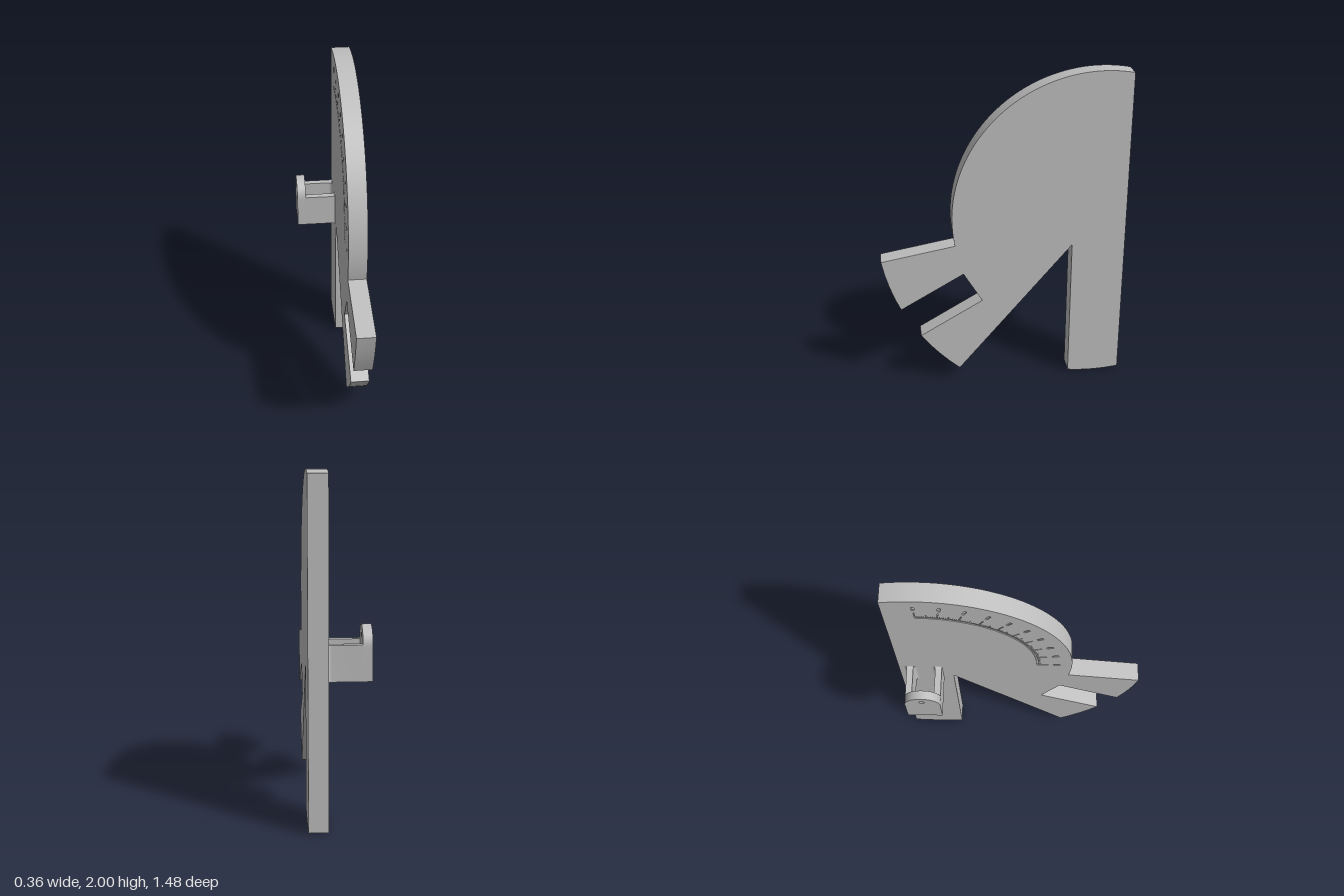
import * as THREE from 'three';
import { toCreasedNormals } from 'three/addons/utils/BufferGeometryUtils.js';

const V = (x, y) => new THREE.Vector2(x, y);
// Pivot of the dial in side-profile coordinates (u = -z, v = y)
const CU = 0.565, CV = 1.128;
const INNER = 0.065, OUTER = 0.178, GROOVE = 0.006;

// Points on an arc about the pivot, blending radius between its two ends
function arc(a, b, n) {
  const polar = p => [Math.hypot(p[0] - CU, p[1] - CV), Math.atan2(p[1] - CV, p[0] - CU)];
  const [r0, t0] = polar(a);
  let [r1, t1] = polar(b);
  if (t1 - t0 > Math.PI) t1 -= 2 * Math.PI;
  if (t0 - t1 > Math.PI) t1 += 2 * Math.PI;
  return Array.from({ length: n + 1 }, (_, i) => {
    const k = i / n, r = r0 + (r1 - r0) * k, t = t0 + (t1 - t0) * k;
    return V(CU + r * Math.cos(t), CV + r * Math.sin(t));
  });
}

// Point on the scale: radius and degrees above the forward horizontal
function dial(r, deg) {
  const t = THREE.MathUtils.degToRad(deg);
  return V(CU - r * Math.cos(t), CV + r * Math.sin(t));
}

function plateOutline() {
  return [
    ...arc([0.738, 1.983], [-0.298, 0.962], 64),
    ...arc([-0.74, 0.885], [-0.635, 0.55], 4),
    V(-0.251, 0.769), V(-0.138, 0.576),
    ...arc([-0.52, 0.355], [-0.285, 0.095], 4),
    V(0.412, 0.922),
    ...arc([0.412, 0.013], [0.738, 0.013], 8),
  ];
}

// Comb-shaped groove: a quarter ring with a tick for every degree
function scaleGroove() {
  const pts = [];
  for (let d = 0; d <= 90; d++) {
    const r = d % 10 === 0 ? 0.735 : d % 5 === 0 ? 0.705 : 0.69;
    const w = d % 10 === 0 ? 0.22 : 0.14;
    pts.push(dial(0.675, d - w), dial(r, d - w), dial(r, d + w), dial(0.675, d + w));
  }
  for (let d = 90; d >= 0; d -= 3) pts.push(dial(0.665, d));
  return new THREE.Path(pts);
}

// Small recess beside each long tick
function markRecess(deg) {
  return new THREE.Path([dial(0.765, deg - 0.6), dial(0.805, deg - 0.6),
    dial(0.805, deg + 0.6), dial(0.765, deg + 0.6)]);
}

// Extrude a side profile along x
function sideExtrude(shape, x0, x1) {
  const g = new THREE.ExtrudeGeometry(shape, { depth: x1 - x0, bevelEnabled: false, curveSegments: 24 });
  g.rotateY(Math.PI / 2).translate(x0, 0, 0);
  return toCreasedNormals(g, 0.5);
}

export function createModel() {
  const model = new THREE.Group();
  const grey = new THREE.MeshStandardMaterial({ color: 0xbfbfbf });
  grey.name = 'plain grey';
  const add = (name, geometry, parent = model) => {
    const m = new THREE.Mesh(geometry, grey);
    m.name = name;
    parent.add(m);
    return m;
  };

  // Flat gauge plate, with its engraved face as a thin layer
  add('gaugePlate', sideExtrude(new THREE.Shape(plateOutline()), INNER + GROOVE, OUTER));
  const face = new THREE.Shape(plateOutline());
  face.holes.push(scaleGroove());
  for (let d = 0; d <= 90; d += 10) face.holes.push(markRecess(d));
  add('engravedFace', sideExtrude(face, INNER, INNER + GROOVE));

  // Bracket on the engraved side
  const bracket = new THREE.Group();
  bracket.name = 'bracket';
  model.add(bracket);
  const Z0 = -0.689, Z1 = -0.476, MID = (Z0 + Z1) / 2, R = (Z1 - Z0) / 2;
  const Y0 = 0.86, Y1 = 1.065, XE = -0.178, XI = -0.124;

  // Round-topped end plate with a pin hole
  const end = new THREE.Shape();
  end.moveTo(-Z1, Y0);
  end.lineTo(-Z0, Y0);
  end.lineTo(-Z0, 1.16 - R);
  end.absarc(-MID, 1.16 - R, R, 0, Math.PI, false);
  end.closePath();
  const pin = new THREE.Path();
  pin.absarc(-MID, 1.1, 0.016, 0, Math.PI * 2, true);
  end.holes.push(pin);
  add('endPlate', sideExtrude(end, XE, XI), bracket);

  // Two arms, flared where they meet the plate
  const F = 0.02;
  function arm(name, za, zb, flareA, flareB) {
    const s = new THREE.Shape();
    s.moveTo(XI, -zb);
    s.lineTo(INNER - F, -zb);
    s.quadraticCurveTo(INNER, -zb, INNER, -zb - flareB);
    s.lineTo(INNER, -za + flareA);
    s.quadraticCurveTo(INNER, -za, INNER - F, -za);
    s.lineTo(XI, -za);
    s.closePath();
    const g = new THREE.ExtrudeGeometry(s, { depth: Y1 - Y0, bevelEnabled: false, curveSegments: 6 });
    g.rotateX(-Math.PI / 2).translate(0, Y0, 0);
    add(name, toCreasedNormals(g, 0.6), bracket);

    // Fillets above and below the root of the arm
    for (const [y, dir] of [[Y1, 1], [Y0, -1]]) {
      const f = new THREE.Shape();
      f.moveTo(INNER - 0.015, y);
      f.lineTo(INNER, y);
      f.lineTo(INNER, y + dir * 0.015);
      f.quadraticCurveTo(INNER, y, INNER - 0.015, y);
      const fg = new THREE.ExtrudeGeometry(f, { depth: zb - za, bevelEnabled: false, curveSegments: 5 });
      add(name + 'Fillet', fg.translate(0, 0, za), bracket);
    }
  }
  arm('backArm', Z0, -0.65, F, F);
  arm('frontArm', -0.516, Z1, F, 0.001);

  return model;
}
